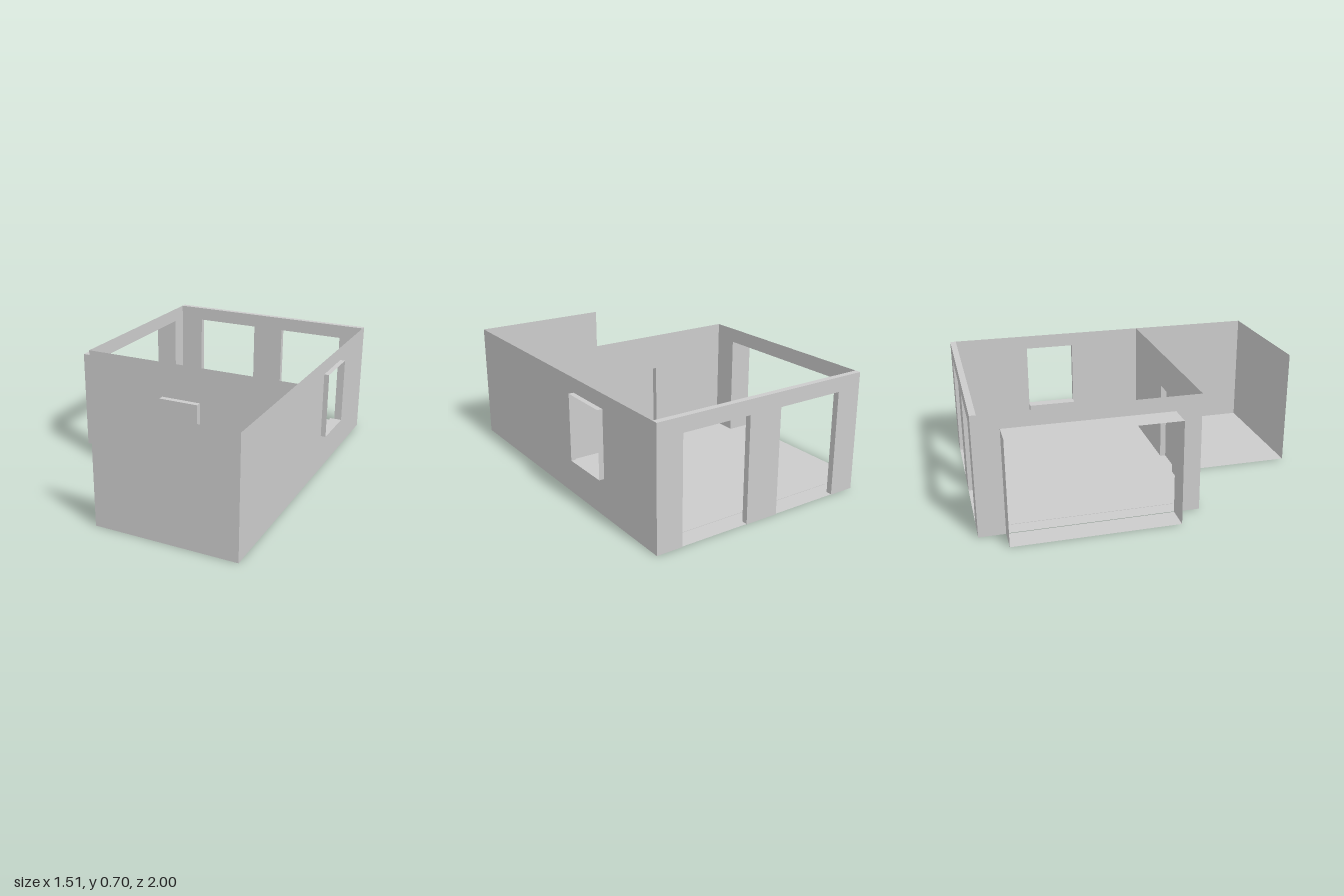
import * as THREE from 'three';

const material = new THREE.MeshStandardMaterial({ color: 0xcccccc, side: THREE.DoubleSide, flatShading: true });

// Dimensions of the main room and its openings
const WEST = -0.615, EAST = 0.725, BACK = -1, MID = 0.25, FRONT = 1, HEIGHT = 0.7;
const BAY = { x: -0.76, z0: -0.85, z1: 0.1, h: 0.613 };
const DOOR = { x0: -0.113, x1: 0.135, h: 0.485, depth: 0.035 };
const WINDOW = { z0: -0.505, z1: -0.2, y0: 0.18, sill: 0.222, y1: 0.615, out: 0.755, inner: 0.685 };

// Rectangular outline; notches [u0, u1, h] are openings reaching the bottom, holes are [u0, v0, u1, v1]
function outline(u0, v0, u1, v1, notches = [], holes = []) {
  const pts = [[u0, v0]];
  for (const [a, b, h] of notches) pts.push([a, v0], [a, h], [b, h], [b, v0]);
  pts.push([u1, v0], [u1, v1], [u0, v1]);
  const toVectors = list => list.map(([u, v]) => new THREE.Vector2(u, v));
  const shape = new THREE.Shape(toVectors(pts));
  for (const [a, b, c, d] of holes) {
    shape.holes.push(new THREE.Path(toVectors([[a, b], [a, d], [c, d], [c, b]])));
  }
  return shape;
}

function addMesh(parent, name, geometry) {
  const mesh = new THREE.Mesh(geometry, material);
  mesh.name = name;
  parent.add(mesh);
  return mesh;
}

// Thin sheets perpendicular to each axis: u,v = z,y / x,z / x,y
function sheetX(parent, name, x, shape) {
  addMesh(parent, name, new THREE.ShapeGeometry(shape).rotateY(-Math.PI / 2)).position.x = x;
}
function sheetY(parent, name, y, shape) {
  addMesh(parent, name, new THREE.ShapeGeometry(shape).rotateX(Math.PI / 2)).position.y = y;
}
function sheetZ(parent, name, z, shape) {
  addMesh(parent, name, new THREE.ShapeGeometry(shape)).position.z = z;
}

function box(parent, name, x0, x1, y0, y1, z0, z1) {
  addMesh(parent, name, new THREE.BoxGeometry(x1 - x0, y1 - y0, z1 - z0))
    .position.set((x0 + x1) / 2, (y0 + y1) / 2, (z0 + z1) / 2);
}

function addGroup(parent, name) {
  const group = new THREE.Group();
  group.name = name;
  parent.add(group);
  return group;
}

export function createModel() {
  const model = new THREE.Group();
  model.name = 'roomInterior';

  // Main room floor with its slightly raised inner panel
  const inner = [-0.525, -0.885, 0.61, 0.15];
  const room = addGroup(model, 'mainRoom');
  sheetY(room, 'floorBorder', 0.003, outline(WEST, BACK, EAST, MID, [], [inner]));
  box(room, 'floorPanel', inner[0], inner[2], 0.001, 0.005, inner[1], inner[3]);

  // Thick back wall with two door openings
  const backShape = outline(WEST, 0, EAST, HEIGHT, [[-0.46, -0.047, 0.615], [0.157, 0.572, 0.615]]);
  addMesh(room, 'backWall', new THREE.ExtrudeGeometry(backShape, { depth: 0.035, bevelEnabled: false }))
    .position.z = BACK;

  // Side wall opening into the bay, and dividing wall with a doorway
  sheetX(room, 'bayWall', WEST, outline(BACK, 0, MID, HEIGHT, [[BAY.z0, BAY.z1, BAY.h]]));
  sheetZ(room, 'dividingWall', MID, outline(WEST, 0, EAST, HEIGHT, [[DOOR.x0, DOOR.x1, DOOR.h]]));

  // Long side wall shared by both rooms, with the window opening
  const w = WINDOW;
  sheetX(model, 'longWall', EAST, outline(BACK, 0, FRONT, HEIGHT, [], [[w.z0, w.y0, w.z1, w.y1]]));

  // Door recess: jambs, head and closed door leaf
  const door = addGroup(model, 'doorRecess');
  const doorEnd = MID + DOOR.depth;
  for (const x of [DOOR.x0, DOOR.x1]) sheetX(door, 'doorJamb', x, outline(MID, 0, doorEnd, DOOR.h));
  sheetY(door, 'doorHead', DOOR.h, outline(DOOR.x0, MID, DOOR.x1, doorEnd));
  sheetZ(door, 'doorLeaf', doorEnd, outline(DOOR.x0, 0, DOOR.x1, DOOR.h));

  // Window: projecting reveal and inner sill
  const win = addGroup(model, 'window');
  for (const z of [w.z0, w.z1]) sheetZ(win, 'windowJamb', z, outline(EAST, w.sill, w.out, w.y1));
  for (const y of [w.sill, w.y1]) sheetY(win, 'windowReveal', y, outline(EAST, w.z0, w.out, w.z1));
  box(win, 'windowSill', w.inner, EAST, w.y0, w.sill, w.z0, w.z1);

  // Bay with an open outer side
  const bay = addGroup(model, 'bay');
  for (const y of [0, BAY.h]) {
    sheetY(bay, y ? 'bayRoof' : 'bayFloor', y, outline(BAY.x, BAY.z0, WEST, BAY.z1));
  }
  for (const z of [BAY.z0, BAY.z1]) sheetZ(bay, 'bayEndWall', z, outline(BAY.x, 0, WEST, BAY.h));

  // Front annex: floor and front wall, open on one side
  const annex = addGroup(model, 'annex');
  sheetY(annex, 'annexFloor', 0, outline(-0.11, MID, EAST, FRONT));
  sheetZ(annex, 'frontWall', FRONT, outline(-0.11, 0, EAST, HEIGHT));

  return model;
}
